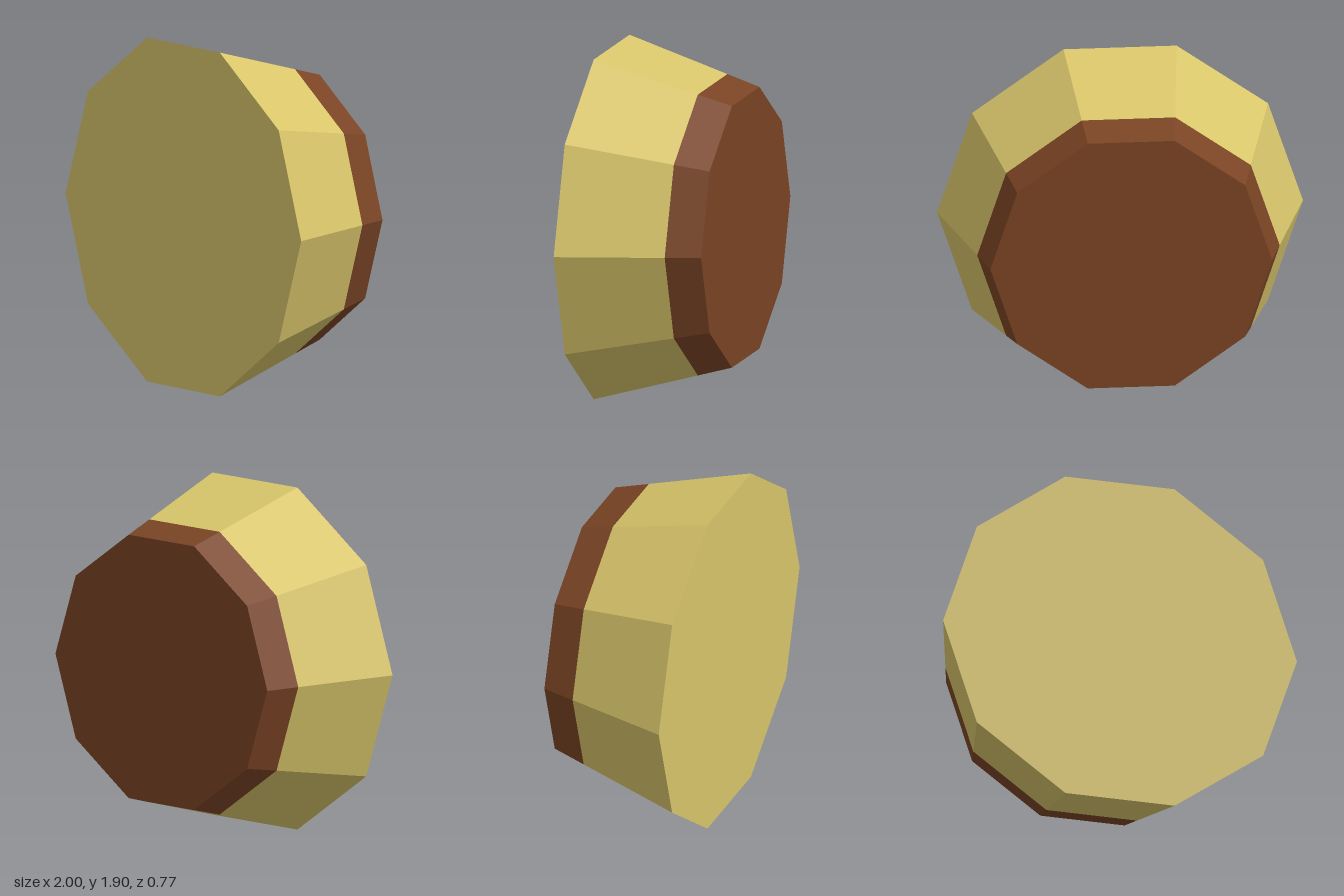
import * as THREE from 'three';

const SIDES = 10;
const FRONT_Z = 0.385, BAND_Z = -0.195, BACK_Z = -0.385;
const FRONT_R = 1, BACK_R = 0.77;
const CENTRE_Y = Math.sin(Math.PI * 0.4); // flat facet rests on y = 0

// Radius of the taper at a given depth
const radiusAt = (z) => THREE.MathUtils.mapLinear(z, BACK_Z, FRONT_Z, BACK_R, FRONT_R);

export function createModel() {
  const straw = new THREE.MeshStandardMaterial({ color: 0xd8c56a, flatShading: true });
  straw.name = 'straw yellow';
  const brown = new THREE.MeshStandardMaterial({ color: 0x7a4424, flatShading: true });
  brown.name = 'rust brown';

  const group = new THREE.Group();
  group.name = 'taperedDrum';

  const add = (name, geometry, material, z) => {
    const mesh = new THREE.Mesh(geometry, material);
    mesh.name = name;
    mesh.position.set(0, CENTRE_Y, z);
    group.add(mesh);
  };

  // Ten-sided tapered wall between two depths, with its axis along z
  const wall = (name, material, z0, z1) => {
    const geometry = new THREE.CylinderGeometry(
      radiusAt(z1), radiusAt(z0), z1 - z0, SIDES, 1, true, Math.PI / 2);
    add(name, geometry.rotateX(Math.PI / 2), material, (z0 + z1) / 2);
  };

  wall('frontWall', straw, BAND_Z, FRONT_Z);
  wall('backBand', brown, BACK_Z, BAND_Z);

  // End faces
  add('frontFace', new THREE.CircleGeometry(FRONT_R, SIDES), straw, FRONT_Z);
  add('backFace', new THREE.CircleGeometry(BACK_R, SIDES).rotateY(Math.PI), brown, BACK_Z);

  return group;
}
